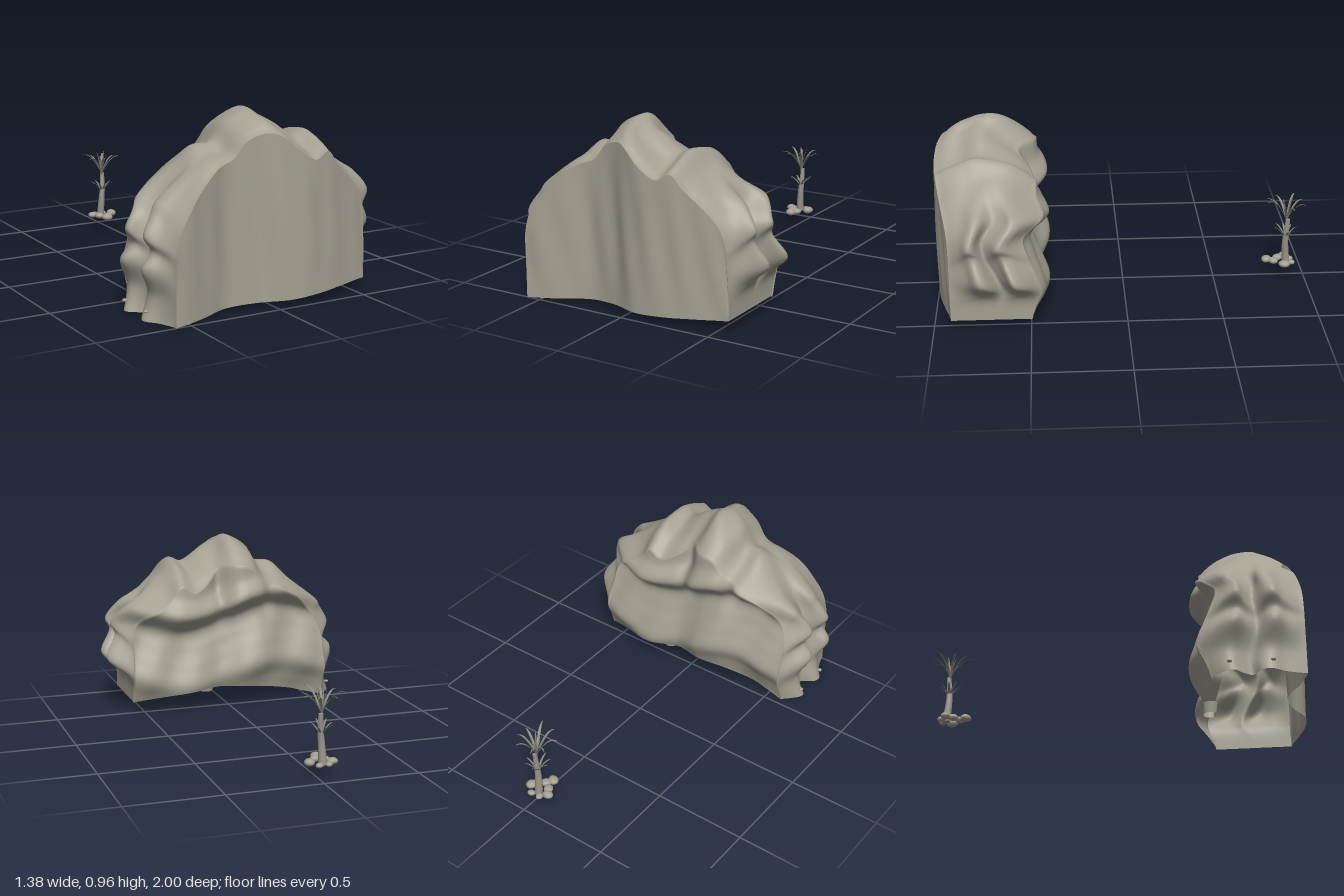
import * as THREE from 'three';

const { lerp, smoothstep } = THREE.MathUtils;

// smooth curve through evenly spaced values, t in 0..1
const track = (values) => {
  const curve = new THREE.SplineCurve(values.map((v, i) => new THREE.Vector2(i, v)));
  return (t) => curve.getPoint(Math.min(1, Math.max(0, t))).y;
};
const outline = (pairs) => new THREE.SplineCurve(pairs.map(([x, y]) => new THREE.Vector2(x, y)));

// grid surface from a rule fn(u, v) => [x, y, z]
function surface(nu, nv, fn) {
  const geo = new THREE.PlaneGeometry(1, 1, nu, nv);
  const { position, uv } = geo.attributes;
  for (let i = 0; i < position.count; i++) position.setXYZ(i, ...fn(uv.getX(i), uv.getY(i)));
  geo.computeVertexNormals();
  return geo;
}

function seeded(seed) {
  return () => (seed = (seed * 16807) % 2147483647) / 2147483647;
}

// widest outline of the hill and the smaller outline of its front face
const outer = outline([
  [-0.665, 0], [-0.63, 0.13], [-0.685, 0.26], [-0.63, 0.34], [-0.67, 0.42], [-0.61, 0.52], [-0.57, 0.58],
  [-0.42, 0.7], [-0.32, 0.785], [-0.22, 0.8], [-0.16, 0.9], [-0.05, 0.97], [0.02, 0.92], [0.1, 0.87],
  [0.2, 0.81], [0.28, 0.84], [0.36, 0.76], [0.5, 0.66], [0.58, 0.6], [0.65, 0.5], [0.63, 0.43],
  [0.69, 0.31], [0.6, 0.22], [0.565, 0.16], [0.56, 0.06],
]);
const inner = outline([
  [-0.58, 0], [-0.58, 0.12], [-0.58, 0.22], [-0.58, 0.3], [-0.575, 0.36], [-0.55, 0.45], [-0.5, 0.53],
  [-0.42, 0.63], [-0.31, 0.71], [-0.21, 0.75], [-0.14, 0.83], [-0.04, 0.865], [0.03, 0.84], [0.1, 0.78],
  [0.2, 0.72], [0.28, 0.755], [0.35, 0.68], [0.46, 0.58], [0.52, 0.5], [0.545, 0.42], [0.55, 0.35],
  [0.555, 0.27], [0.56, 0.19], [0.56, 0.14], [0.56, 0.06],
]);

// depth of the front and back faces
const across = (x) => (x + 0.58) / 1.14;
const frontTrack = track([1, 0.96, 0.9, 0.92, 0.985, 0.985, 0.95, 0.91]);
const backTrack = track([0.47, 0.47, 0.43, 0.4, 0.44, 0.4, 0.42, 0.44]);
const ledge = track([0.07, 0.04, 0, 0.03, 0.07, 0.09, 0, 0.05, 0.06, 0.09, 0.1]);
const frontZ = (x) => frontTrack(across(x));
// gullies running down the upper back
const gully = (x, at) => Math.exp(-(((x - at) / 0.05) ** 2));
const backZ = (x, y) => backTrack(across(x)) + ledge(y + 0.06 * Math.sin(6 * x))
  + 0.05 * smoothstep(y, 0.4, 0.7) * (gully(x, -0.25) + gully(x, 0.04));

// swelling from front to back, along the crest and along the fluted ends
const crestSwell = track([0, 0.3, 0.5, 0.66, 0.88, 1, 0.95, 0.75, 0.45, 0, -0.5]);
const endSwell = track([0, 0.2, 0.5, 0.95, 0.85, 0.15, 0.45, 1, 0.9, 0.5, 0.1]);

// point on the vault over the hill, v from the front rim to the back rim
function vaultPoint(u, v) {
  const a = inner.getPoint(u), b = outer.getPoint(u);
  const end = smoothstep(Math.abs(a.x), 0.35, 0.56);
  const arc = Math.sin(Math.PI * v);
  const shift = 0.06 * Math.sin(14 * a.y + 3 * a.x) * arc;
  const k = lerp(crestSwell(v), endSwell(v + shift), end);
  const fold = 0.01 * arc * Math.sin(17 * a.x + 11 * v) * (1 - end);
  const x = lerp(a.x, b.x, k), y = lerp(a.y, b.y, k) + fold;
  return [x, y, lerp(frontZ(a.x), backZ(a.x, y), v)];
}

// point on the back face, v from the back rim down to the raised hem
function backPoint(u, v) {
  const [x, top] = vaultPoint(u, 1);
  const columnX = inner.getPoint(u).x;
  const t = Math.min(1, Math.max(0, across(columnX)));
  const hem = 0.06 * t + 0.09 * Math.sin(Math.PI * t);
  const y = lerp(top, Math.min(hem, top), v);
  const fold = 0.014 * Math.sin(Math.PI * v) * Math.sin(21 * x + 7 * y);
  return [x, y, backZ(columnX, y) + fold];
}

function createHill(stone) {
  const hill = new THREE.Group();
  hill.name = 'rockHill';
  const add = (name, geo) => {
    const mesh = new THREE.Mesh(geo, stone);
    mesh.name = name;
    hill.add(mesh);
    return mesh;
  };

  // vault and back are one smooth skin
  add('hillCrestAndBack', surface(144, 88, (u, v) => (
    v <= 0.5 ? vaultPoint(u, v * 2) : backPoint(u, v * 2 - 1)
  )));

  add('hillFront', surface(144, 24, (u, v) => {
    const p = inner.getPoint(u);
    const base = 0.06 * across(p.x);
    const ripple = 0.006 * Math.sin(38 * p.x + 3 * v) * Math.sin(Math.PI * v);
    return [p.x, lerp(base, p.y, v), frontZ(p.x) + ripple];
  }));

  // curled flap under the back hem
  const flap = add('hemCurl', new THREE.CylinderGeometry(0.05, 0.04, 0.06, 16, 1, true, 1.2, 4.4));
  flap.position.set(0.14, 0.13, 0.49);

  // small stones stuck to the foot of one end
  for (const [x, z] of [[-0.66, 0.63], [-0.6, 0.77], [-0.655, 0.84]]) {
    const pebble = add('footPebble', new THREE.IcosahedronGeometry(0.013, 1));
    pebble.scale.y = 0.6;
    pebble.position.set(x, 0.05, z);
  }
  return hill;
}

// arching, pointed leaf blade growing along +x
function leafGeometry(length, rise, droop, width) {
  return surface(2, 10, (u, v) => {
    const w = width * Math.sin(Math.PI * (0.12 + 0.88 * v)) ** 0.7 * (u - 0.5);
    const arch = rise * v - droop * v * v * v;
    return [length * v ** 1.2, arch + Math.abs(w) * 0.5, w];
  });
}

function createPlant(bark, foliage, stone) {
  const plant = new THREE.Group();
  plant.name = 'palmPlant';
  const random = seeded(77);

  // gently bent trunk
  const trunkGeo = new THREE.CylinderGeometry(0.012, 0.022, 0.26, 9, 10);
  const pos = trunkGeo.attributes.position;
  for (let i = 0; i < pos.count; i++) {
    const y = pos.getY(i);
    pos.setX(i, pos.getX(i) + 0.006 * Math.sin(14 * y));
    pos.setZ(i, pos.getZ(i) + 0.006 * Math.cos(16 * y));
  }
  trunkGeo.computeVertexNormals();
  const trunk = new THREE.Mesh(trunkGeo, bark);
  trunk.name = 'trunk';
  trunk.position.set(-0.02, 0.195, -0.905);
  plant.add(trunk);

  // two crowns of leaves
  const crown = (name, y, count, length, rise, droop, width, start) => {
    const group = new THREE.Group();
    group.name = name;
    group.position.set(-0.02, y, -0.9);
    for (let i = 0; i < count; i++) {
      const s = 0.85 + 0.2 * random();
      const leaf = new THREE.Mesh(leafGeometry(length * s, rise * s, droop * s, width), foliage);
      leaf.name = 'leaf';
      leaf.rotation.y = start + (i / count) * Math.PI * 2 + 0.3 * (random() - 0.5);
      group.add(leaf);
    }
    plant.add(group);
  };
  crown('upperCrown', 0.31, 8, 0.125, 0.22, 0.095, 0.014, 0.35);
  crown('crownHeart', 0.32, 4, 0.035, 0.14, 0, 0.011, 0.7);
  crown('lowerCrown', 0.2, 8, 0.075, 0.11, 0.03, 0.012, 0.1);

  // rocks around the foot
  const rocks = [
    [-0.08, -0.9, 0.03], [0.035, -0.89, 0.033], [-0.035, -0.8, 0.032], [-0.015, -0.835, 0.03],
    [-0.055, -0.865, 0.03], [0.0, -0.935, 0.022], [-0.05, -0.93, 0.022],
  ];
  rocks.forEach(([x, z, r], i) => {
    const rock = new THREE.Mesh(new THREE.IcosahedronGeometry(r, 1), stone);
    rock.name = 'footRock';
    rock.scale.set(1, 0.6, 0.85);
    rock.rotation.y = i * 1.3;
    rock.position.set(x, 0.058 + r * 0.6, z);
    plant.add(rock);
  });
  return plant;
}

export function createModel() {
  const material = (name, color) => {
    const m = new THREE.MeshStandardMaterial({ color, side: THREE.DoubleSide });
    m.name = name;
    return m;
  };
  const stone = material('stone', 0xa39f91);
  const bark = material('bark', 0x96938a);
  const foliage = material('foliage', 0x858679);

  const model = new THREE.Group();
  model.name = 'rockAndPalm';
  model.add(createHill(stone), createPlant(bark, foliage, stone));
  return model;
}
